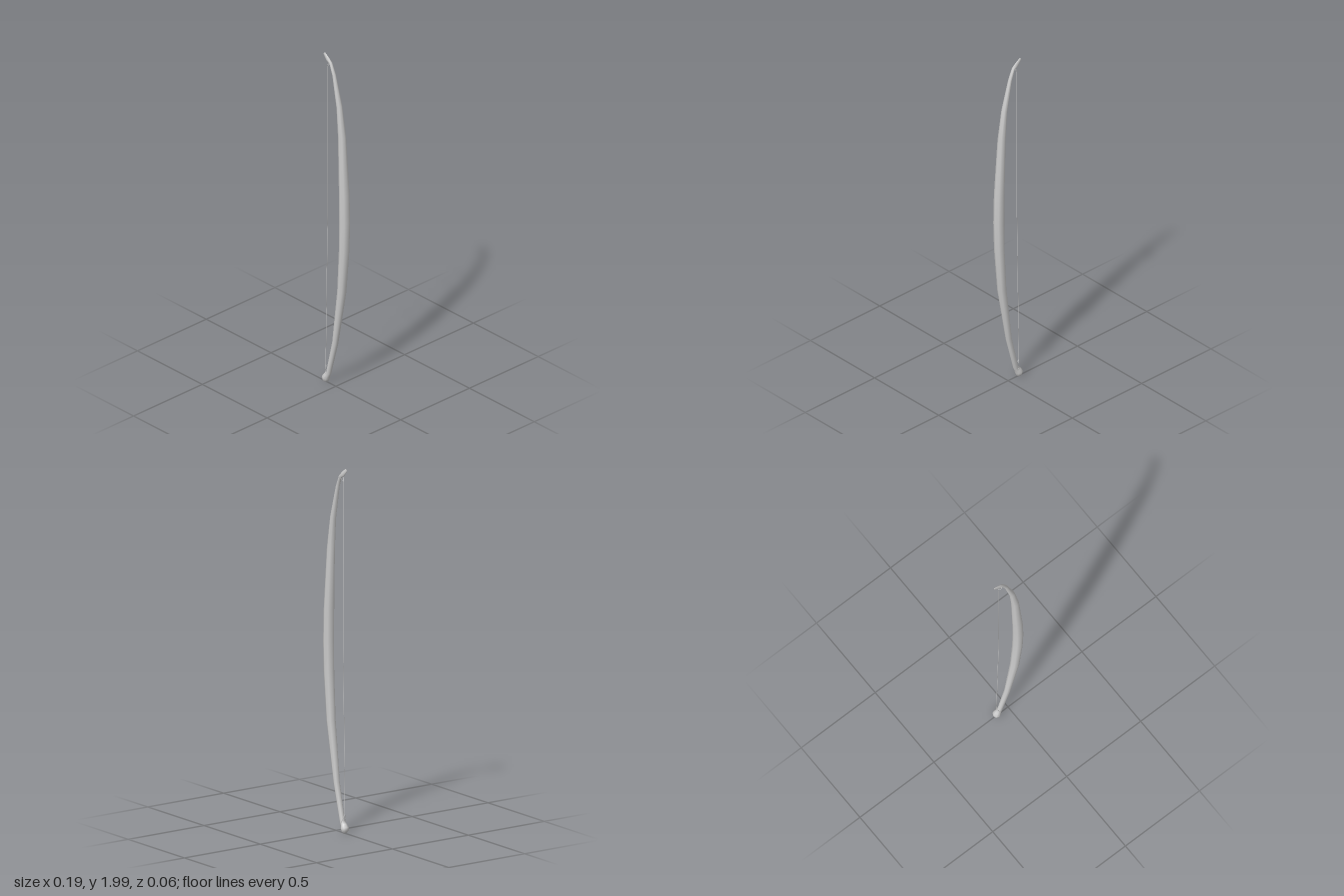
import * as THREE from 'three';

const material = new THREE.MeshStandardMaterial({ color: 0xcccccc, side: THREE.DoubleSide });
const SIDES = 8;

// Cross-sections from bottom to top: inner x, y, outer x, y, half depth
const SECTIONS = [
  [-0.088, 0.012, -0.070, 0.009, 0.009],
  [-0.098, 0.028, -0.061, 0.014, 0.020],
  [-0.097, 0.044, -0.055, 0.030, 0.023],
  [-0.084, 0.060, -0.051, 0.046, 0.017],
  [-0.068, 0.076, -0.041, 0.066, 0.014],
  [-0.020, 0.280, 0.012, 0.268, 0.017],
  [0.022, 0.610, 0.070, 0.600, 0.025],
  [0.037, 0.870, 0.091, 0.860, 0.029],
  [0.039, 1.030, 0.096, 1.030, 0.030],
  [0.037, 1.200, 0.092, 1.200, 0.029],
  [0.026, 1.540, 0.069, 1.540, 0.022],
  [0.013, 1.705, 0.042, 1.720, 0.017],
  [-0.022, 1.885, -0.005, 1.895, 0.011],
  [-0.044, 1.943, -0.032, 1.957, 0.009],
  [-0.072, 1.957, -0.051, 1.977, 0.007],
  [-0.097, 1.988, -0.084, 2.000, 0.003],
];

// Skin the rings and close both ends with a fan
function loftStave() {
  const pos = [], idx = [];
  for (const [ax, ay, bx, by, hz] of SECTIONS) {
    for (let j = 0; j < SIDES; j++) {
      const t = (j / SIDES) * Math.PI * 2, c = Math.cos(t) / 2;
      pos.push((ax + bx) / 2 + c * (bx - ax), (ay + by) / 2 + c * (by - ay), Math.sin(t) * hz);
    }
  }
  const last = (SECTIONS.length - 1) * SIDES, bottom = last + SIDES, top = bottom + 1;
  for (const s of [SECTIONS[0], SECTIONS[SECTIONS.length - 1]]) {
    pos.push((s[0] + s[2]) / 2, (s[1] + s[3]) / 2, 0);
  }
  for (let j = 0; j < SIDES; j++) {
    const k = (j + 1) % SIDES;
    for (let r = 0; r < last; r += SIDES) {
      idx.push(r + j, r + SIDES + j, r + k, r + k, r + SIDES + j, r + SIDES + k);
    }
    idx.push(bottom, j, k, top, last + k, last + j);
  }
  const geo = new THREE.BufferGeometry();
  geo.setAttribute('position', new THREE.Float32BufferAttribute(pos, 3));
  geo.setIndex(idx);
  geo.computeVertexNormals();
  return geo;
}

// Thin cord along straight segments
function cord(name, points) {
  const path = new THREE.CurvePath();
  const v = points.map((p) => new THREE.Vector3(...p));
  for (let i = 1; i < v.length; i++) path.add(new THREE.LineCurve3(v[i - 1], v[i]));
  const mesh = new THREE.Mesh(new THREE.TubeGeometry(path, 24, 0.0014, 5), material);
  mesh.name = name;
  return mesh;
}

export function createModel() {
  const group = new THREE.Group();
  group.name = 'bow';

  const stave = new THREE.Mesh(loftStave(), material);
  stave.name = 'stave';
  group.add(stave);

  // String, bent slightly at its middle
  group.add(cord('bowString', [[-0.063, 1.925, 0], [-0.064, 1.0, 0], [-0.078, 0.11, 0]]));

  // Forked loops that hook the string over both nocks
  for (const s of [-1, 1]) {
    group.add(cord('upperStringLoop', [[-0.063, 1.925, 0], [-0.052, 1.944, s * 0.009], [-0.034, 1.957, 0]]));
    group.add(cord('lowerStringLoop', [[-0.078, 0.11, 0], [-0.064, 0.068, s * 0.016], [-0.043, 0.06, 0]]));
  }
  return group;
}
